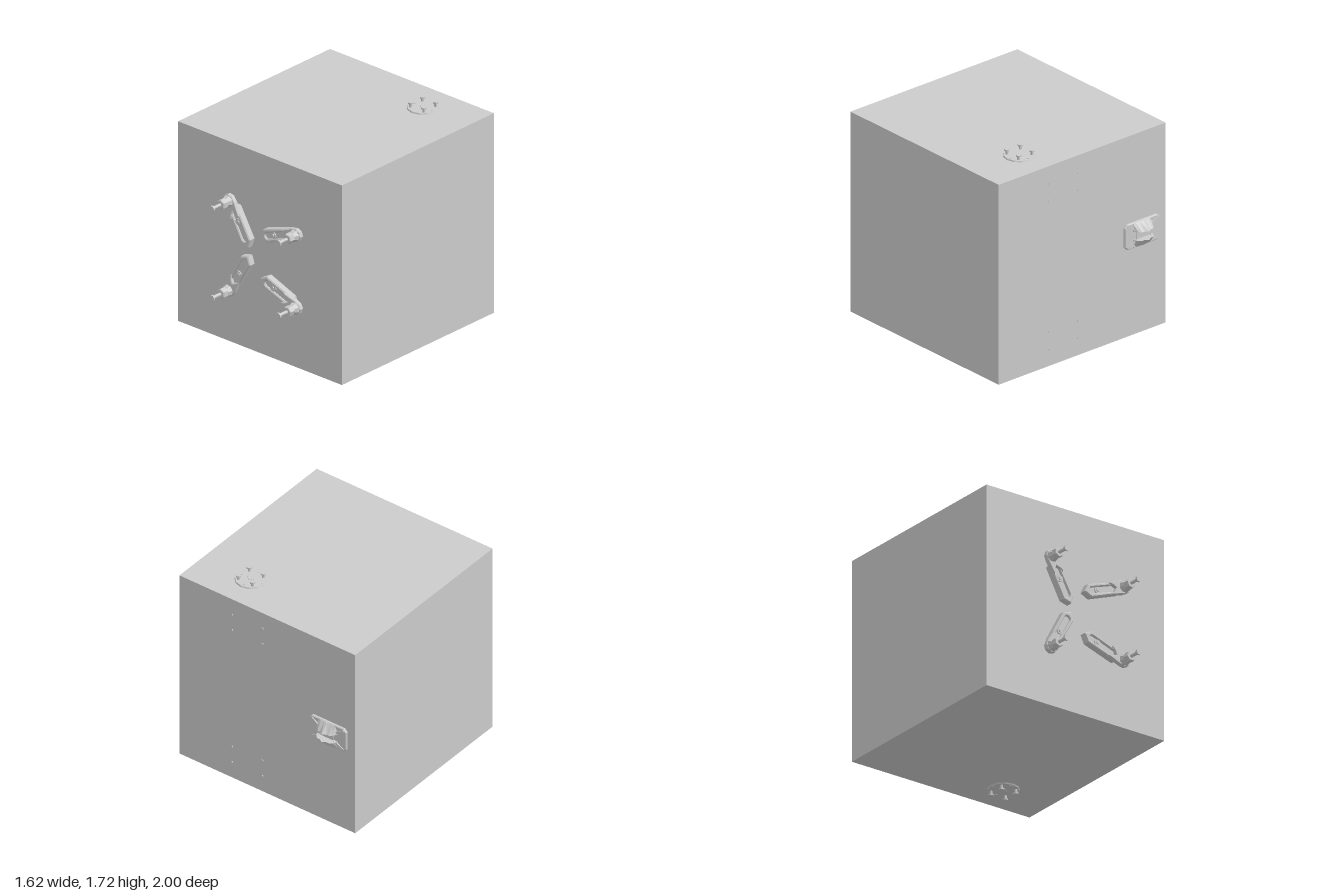
import * as THREE from 'three';

const material = new THREE.MeshStandardMaterial({ color: 0xcccccc, flatShading: true });

function add(parent, name, geometry, x = 0, y = 0, z = 0) {
  const mesh = new THREE.Mesh(geometry, material);
  mesh.name = name;
  mesh.position.set(x, y, z);
  parent.add(mesh);
  return mesh;
}

const polygon = (pts) => new THREE.Shape(pts.map(([x, y]) => new THREE.Vector2(x, y)));

function extrude(shape, depth, bevel = 0) {
  return new THREE.ExtrudeGeometry(shape, {
    depth: depth - bevel, bevelEnabled: bevel > 0, bevelThickness: bevel,
    bevelSize: bevel, bevelOffset: -bevel, bevelSegments: 1, curveSegments: 5,
  });
}

// Round slot along x between a and b
function slot(a, b, r) {
  const p = new THREE.Path();
  p.moveTo(a, -r);
  p.lineTo(b, -r);
  p.absarc(b, 0, r, -Math.PI / 2, Math.PI / 2, false);
  p.lineTo(a, r);
  p.absarc(a, 0, r, Math.PI / 2, Math.PI * 1.5, false);
  return p;
}

// Faceted post along z from a list of [radius, z]
function post(parent, name, profile, sides) {
  const geo = new THREE.LatheGeometry(profile.map(([r, z]) => new THREE.Vector2(r, z)), sides);
  geo.rotateX(Math.PI / 2);
  return add(parent, name, geo);
}

// Arm: origin at its pivot, inner tip toward -x, mounting face at z = 0
function makeArm(hubDistance) {
  const arm = new THREE.Group();
  arm.name = 'clampArm';

  // Slotted bar with a pointed inner end
  const bar = polygon([[-0.375, 0], [-0.325, -0.052], [-0.06, -0.046], [-0.03, 0], [-0.06, 0.046], [-0.325, 0.052]]);
  bar.holes.push(slot(-0.3, -0.1, 0.024));
  add(arm, 'slottedBar', extrude(bar, 0.054, 0.008));
  add(arm, 'slotFloor', new THREE.BoxGeometry(0.27, 0.07, 0.034), -0.2, 0, 0.02);

  // Raised end plate around the pivot
  const end = polygon([[-0.13, -0.044], [-0.02, -0.052], [0.025, -0.046], [0.05, -0.02],
    [0.05, 0.02], [0.025, 0.046], [-0.02, 0.052], [-0.13, 0.044], [-0.1, 0.025], [-0.075, 0], [-0.1, -0.025]]);
  add(arm, 'endPlate', extrude(end, 0.034, 0.005), 0, 0, 0.031);

  // Slot hub
  post(arm, 'slotHub', [[0.027, 0.03], [0.027, 0.046], [0.014, 0.046], [0.014, 0.054], [0, 0.054]], 8)
    .position.x = -hubDistance;

  // Tapered collar, hex nut and headed bolt
  post(arm, 'collar', [[0.046, 0.06], [0.046, 0.075], [0.03, 0.115], [0, 0.115]], 8);
  post(arm, 'nut', [[0, 0.105], [0.04, 0.105], [0.04, 0.143], [0.034, 0.15], [0, 0.15]], 6);
  post(arm, 'bolt', [[0.013, 0.14], [0.013, 0.225], [0.024, 0.23], [0.024, 0.245], [0, 0.245]], 8);
  return arm;
}

// Round flange lying in xz with four headed pins standing on it
function makeFlange() {
  const flange = new THREE.Group();
  flange.name = 'flange';
  add(flange, 'flangePlate', new THREE.CylinderGeometry(0.118, 0.122, 0.01, 12), 0, 0.005, 0);
  const pin = new THREE.LatheGeometry([[0.011, 0.005], [0.011, 0.033], [0.02, 0.036], [0.02, 0.048], [0, 0.048]]
    .map(([r, y]) => new THREE.Vector2(r, y)), 8);
  const stud = new THREE.CylinderGeometry(0.014, 0.014, 0.012, 4);
  add(flange, 'centreBoss', new THREE.CylinderGeometry(0.03, 0.034, 0.014, 4), 0, 0.007, 0);
  for (let i = 0; i < 4; i++) {
    const a = i * Math.PI / 2;
    const d = a + Math.PI / 4;
    add(flange, 'pin', pin, 0.092 * Math.cos(d), 0, 0.092 * Math.sin(d));
    add(flange, 'stud', stud, 0.092 * Math.cos(a), 0.006, 0.092 * Math.sin(a));
  }
  return flange;
}

// Latch: rounded base plate with two sloped jaws, facing local +z
function makeLatch() {
  const latch = new THREE.Group();
  latch.name = 'latch';
  const w = 0.17, h = 0.102, c = 0.025;
  const outline = polygon([[-w + c, -h], [w - c, -h], [w, -h + c], [w, h - c],
    [w - c, h], [-w + c, h], [-w, h - c], [-w, -h + c]]);
  add(latch, 'latchPlate', extrude(outline, 0.02, 0.006));

  // Jaw: peaked profile whose outer side slopes down to the plate edge
  const profile = polygon([[-0.1, 0], [-0.092, 0.03], [-0.07, 0.062], [-0.05, 0.075], [-0.03, 0.075],
    [0, 0.095], [0.03, 0.075], [0.05, 0.075], [0.07, 0.062], [0.092, 0.03], [0.1, 0]].reverse());
  for (const side of [1, -1]) {
    const geo = extrude(profile, 0.065);
    geo.rotateX(Math.PI / 2);
    geo.translate(0, 0.065, 0);
    const p = geo.attributes.position;
    for (let i = 0; i < p.count; i++) {
      const x = p.getX(i), y = p.getY(i);
      // rotated extrusion: y runs 0..0.065 across the jaw, z is height
      p.setXYZ(i, x, y + 0.034, p.getZ(i) * (1 - 0.72 * y / 0.065));
    }
    const jaw = add(latch, 'jaw', geo);
    if (side < 0) jaw.rotation.z = Math.PI;
    // Diagonal corner ribs
    for (const sx of [1, -1]) {
      const rib = add(latch, 'cornerRib', new THREE.BoxGeometry(0.1, 0.014, 0.016), sx * 0.105, side * 0.06, 0.022);
      rib.rotation.z = sx * side * 0.55;
      rib.rotation.y = sx * 0.12;
    }
  }
  add(latch, 'catchBar', new THREE.BoxGeometry(0.12, 0.07, 0.012), 0, 0, 0.02);
  return latch;
}

export function createModel() {
  const model = new THREE.Group();
  model.name = 'mountedCube';
  const midY = 0.86, front = 0.755, back = -0.9;

  add(model, 'cubeBody', new THREE.BoxGeometry(1.62, 1.62, front - back), 0, midY, (front + back) / 2);

  // Four front arms, mirrored above and below the middle
  for (const side of [1, -1]) {
    for (const [x, y, angle, hub] of [[-0.257, 0.362, 119, 0.172], [0.4, 0.295, 19.6, 0.245]]) {
      const arm = makeArm(hub);
      arm.position.set(x, midY + side * y, front);
      arm.rotation.z = side * THREE.MathUtils.degToRad(angle);
      model.add(arm);
    }
    // Flanges on top and bottom
    const flange = makeFlange();
    flange.position.set(0.365, midY + side * 0.81, -0.62);
    if (side < 0) flange.rotation.x = Math.PI;
    model.add(flange);

    // Small rivets on the back
    for (const x of [0.043, 0.324]) {
      for (const y of [0.53, 0.67]) {
        const rivet = add(model, 'rivet', new THREE.CylinderGeometry(0.009, 0.009, 0.012, 8), x, midY + side * y, back);
        rivet.rotation.x = Math.PI / 2;
      }
    }
  }

  const latch = makeLatch();
  latch.position.set(-0.57, midY + 0.002, back);
  latch.rotation.y = Math.PI;
  model.add(latch);
  return model;
}
